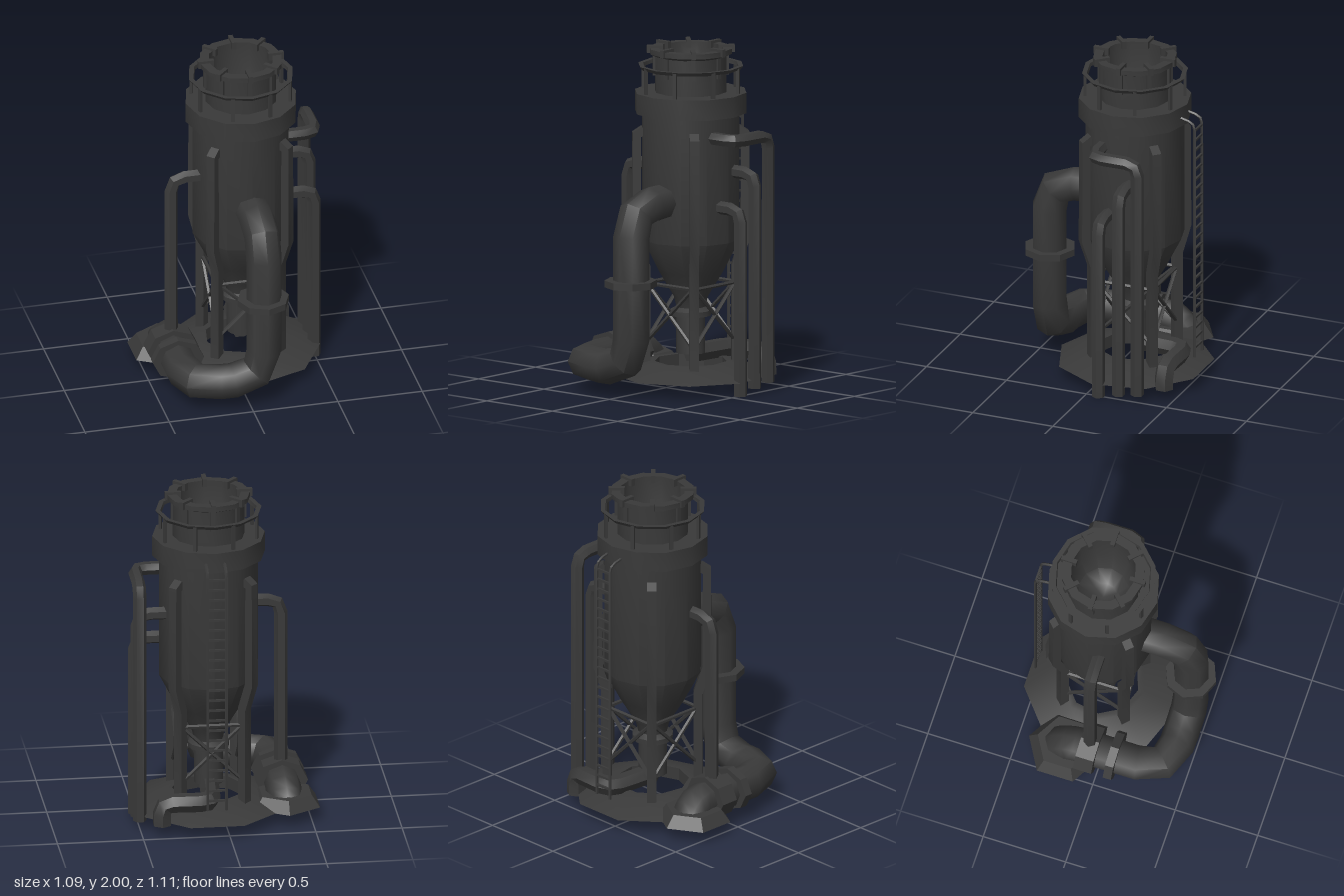
import * as THREE from 'three';
import { toCreasedNormals } from 'three/addons/utils/BufferGeometryUtils.js';

const V = (x, y, z) => new THREE.Vector3(x, y, z);
// Double-sided because the base ring and duct foot are open shells
const darkSteel = new THREE.MeshStandardMaterial({ color: 0x393939, side: THREE.DoubleSide });
darkSteel.name = 'darkSteel';

const CX = 0.077, CZ = -0.125; // vessel axis
const polar = (r, a, y) => V(Math.sin(a) * r, y, Math.cos(a) * r);

function mesh(name, geometry, parent, crease = 0.6) {
  const m = new THREE.Mesh(toCreasedNormals(geometry, crease), darkSteel);
  m.name = name;
  parent.add(m);
  return m;
}

// Revolved profile of [radius, height] pairs, outside going up
function lathe(name, profile, sides, parent) {
  return mesh(name, new THREE.LatheGeometry(profile.map(([r, y]) => new THREE.Vector2(r, y)), sides), parent);
}

// Round the corners of a polyline with a few points each
function roundPath(pts, bend) {
  const out = [pts[0]];
  for (let i = 1; i < pts.length - 1; i++) {
    const p = pts[i];
    const d0 = pts[i - 1].clone().sub(p), d1 = pts[i + 1].clone().sub(p);
    const k = Math.min(bend, d0.length() * 0.49, d1.length() * 0.49);
    const a = p.clone().addScaledVector(d0.normalize(), k);
    const b = p.clone().addScaledVector(d1.normalize(), k);
    out.push(...new THREE.QuadraticBezierCurve3(a, p, b).getPoints(2));
  }
  out.push(pts[pts.length - 1]);
  return out;
}

// Polygonal pipe swept along a path, with closed ends
function pipe(name, path, r, sides, parent, bend = 0) {
  const pts = bend ? roundPath(path, bend) : path;
  const pos = [], idx = [], last = pts.length - 1;
  const dir = i => pts[i + 1].clone().sub(pts[i]).normalize();
  let t = dir(0);
  const n = Math.abs(t.x) > 0.8 ? V(0, 1, 0) : V(1, 0, 0);
  n.addScaledVector(t, -n.dot(t)).normalize();
  pts.forEach((p, i) => {
    const nt = i === 0 ? dir(0) : i === last ? dir(last - 1) : dir(i - 1).add(dir(i)).normalize();
    n.applyQuaternion(new THREE.Quaternion().setFromUnitVectors(t, nt));
    t = nt;
    const b = t.clone().cross(n);
    for (let j = 0; j < sides; j++) {
      const a = j / sides * Math.PI * 2;
      const q = p.clone().addScaledVector(n, r * Math.cos(a)).addScaledVector(b, r * Math.sin(a));
      pos.push(q.x, q.y, q.z);
    }
  });
  for (let j = 0; j < sides; j++) {
    const k = (j + 1) % sides;
    for (let i = 0; i < last; i++) {
      const a = i * sides + j, d = i * sides + k, b = a + sides, c = d + sides;
      idx.push(a, d, b, d, c, b);
    }
    if (j > 0 && j < sides - 1) {
      const e = last * sides;
      idx.push(0, k, j, e, e + j, e + k);
    }
  }
  const g = new THREE.BufferGeometry();
  g.setAttribute('position', new THREE.Float32BufferAttribute(pos, 3));
  g.setIndex(idx);
  return mesh(name, g, parent, sides > 6 ? 0.9 : 0.6);
}

function box(name, w, h, d, p, angle, parent) {
  const m = mesh(name, new THREE.BoxGeometry(w, h, d), parent);
  m.position.copy(p);
  m.rotation.y = angle;
  return m;
}

function makeVessel() {
  const g = new THREE.Group();
  g.name = 'vessel';
  g.position.set(CX, 0, CZ);
  // Shell, hopper and discharge nozzle
  lathe('hopperShell', [[0, 0.2], [0.085, 0.2], [0.085, 0.42], [0.12, 0.42], [0.12, 0.45], [0.085, 0.47],
    [0.1, 0.53], [0.19, 0.68], [0.287, 0.87], [0.287, 1.65]], 12, g);
  lathe('platform', [[0.27, 1.61], [0.327, 1.61], [0.327, 1.73], [0.2, 1.73]], 12, g);
  // Open neck with a rim and a bowl inside
  lathe('neck', [[0.21, 1.71], [0.21, 1.94], [0.243, 1.955], [0.243, 1.985], [0.19, 1.985],
    [0.19, 1.76], [0.15, 1.63], [0.08, 1.56], [0, 1.54]], 12, g);

  // Rim clips and guard rail
  for (let i = 0; i < 8; i++) {
    const a = i * Math.PI / 4;
    box('rimClip', 0.026, 0.045, 0.093, polar(0.207, a, 1.9775), a, g);
    box('clipStrap', 0.026, 0.13, 0.02, polar(0.21, a, 1.89), a, g);
    box('railPost', 0.022, 0.16, 0.016, polar(0.288, a + Math.PI / 8, 1.8), a + Math.PI / 8, g);
  }
  lathe('guardRail', [[0.275, 1.865], [0.293, 1.865], [0.308, 1.886], [0.28, 1.886], [0.275, 1.865]], 12, g);

  // Four legs with cross bracing
  for (let i = 0; i < 4; i++) {
    const a = Math.PI / 4 + i * Math.PI / 2, b = a + Math.PI / 2;
    pipe('leg', [polar(0.262, a, 0.1), polar(0.262, a, 0.71), polar(0.313, a, 0.87),
      polar(0.313, a, 1.48), polar(0.27, a, 1.505)], 0.038, 4, g);
    pipe('brace', [polar(0.262, a, 0.62), polar(0.262, b, 0.26)], 0.012, 5, g);
    pipe('brace', [polar(0.262, b, 0.62), polar(0.262, a, 0.26)], 0.012, 5, g);
    pipe('crossbar', [polar(0.262, a, 0.61), polar(0.262, b, 0.61)], 0.012, 5, g);
  }
  // Base ring, open below
  lathe('baseRing', [[0.458, 0.08], [0.25, 0.155], [0.21, 0.155], [0.21, 0.08]], 9, g);
  return g;
}

function makeMainDuct() {
  const g = new THREE.Group();
  g.name = 'mainDuct';
  pipe('ductPipe', [V(0.085, 1.115, 0.05), V(0.085, 1.115, 0.405), V(0.085, 0.168, 0.405), V(-0.35, 0.168, 0.4),
    V(-0.35, 0.168, -0.19), V(-0.355, 0.09, -0.25)], 0.105, 8, g, 0.18);
  // Flanges around the duct; the horizontal ones are slightly flattened
  const flange = (p, width, horizontal) => {
    const m = mesh('ductFlange', new THREE.CylinderGeometry(0.152, 0.152, width, 8), g);
    m.position.copy(p);
    if (horizontal) {
      m.rotation.x = Math.PI / 2;
      m.scale.z = 0.83;
    }
  };
  flange(V(0.08, 0.675, 0.405), 0.04, false);
  flange(V(-0.35, 0.175, 0.085), 0.05, true);
  flange(V(-0.35, 0.175, -0.065), 0.11, true);
  // Flared foot under the duct outlet, open below
  const foot = lathe('ductFoot', [[0.218, 0.08], [0.165, 0.15], [0, 0.15]], 6, g);
  foot.position.set(-0.358, 0, -0.215);
  return g;
}

function makeSidePipes() {
  const g = new THREE.Group();
  g.name = 'sidePipes';
  const r = 0.039;
  pipe('lowPipe', [V(0.5, 0, -0.075), V(0.5, 1.085, -0.075), V(0.3, 1.085, -0.075)], r, 6, g, 0.07);
  pipe('middlePipe', [V(0.5, 0.03, -0.2), V(0.5, 1.28, -0.2), V(0.3, 1.28, -0.2)], r, 6, g, 0.07);
  pipe('highPipe', [V(0.5, 0.05, -0.318), V(0.5, 1.495, -0.318), V(0.5, 1.495, -0.03), V(0.3, 1.495, -0.03)], r, 6, g, 0.07);
  pipe('rightPipe', [V(-0.35, 0.03, -0.065), V(-0.35, 1.28, -0.065), V(-0.15, 1.28, -0.065)], r, 6, g, 0.08);
  pipe('drainPipe', [V(0.075, 0.195, -0.12), V(0.1, 0.195, -0.45), V(0.385, 0.195, -0.437), V(0.385, 0.065, -0.437)], 0.057, 6, g, 0.07);
  return g;
}

function makeLadder() {
  const g = new THREE.Group();
  g.name = 'ladder';
  for (const x of [0.022, 0.13])
    pipe('ladderRail', [V(x, 0.17, -0.52), V(x, 1.64, -0.52), V(x, 1.665, -0.42)], 0.009, 5, g, 0.04);
  for (let i = 0; i < 23; i++)
    box('rung', 0.11, 0.012, 0.012, V(0.076, 0.23 + i * 0.062, -0.52), 0, g);
  return g;
}

export function createModel() {
  const model = new THREE.Group();
  model.name = 'siloTower';
  model.add(makeVessel(), makeMainDuct(), makeSidePipes(), makeLadder());
  return model;
}
